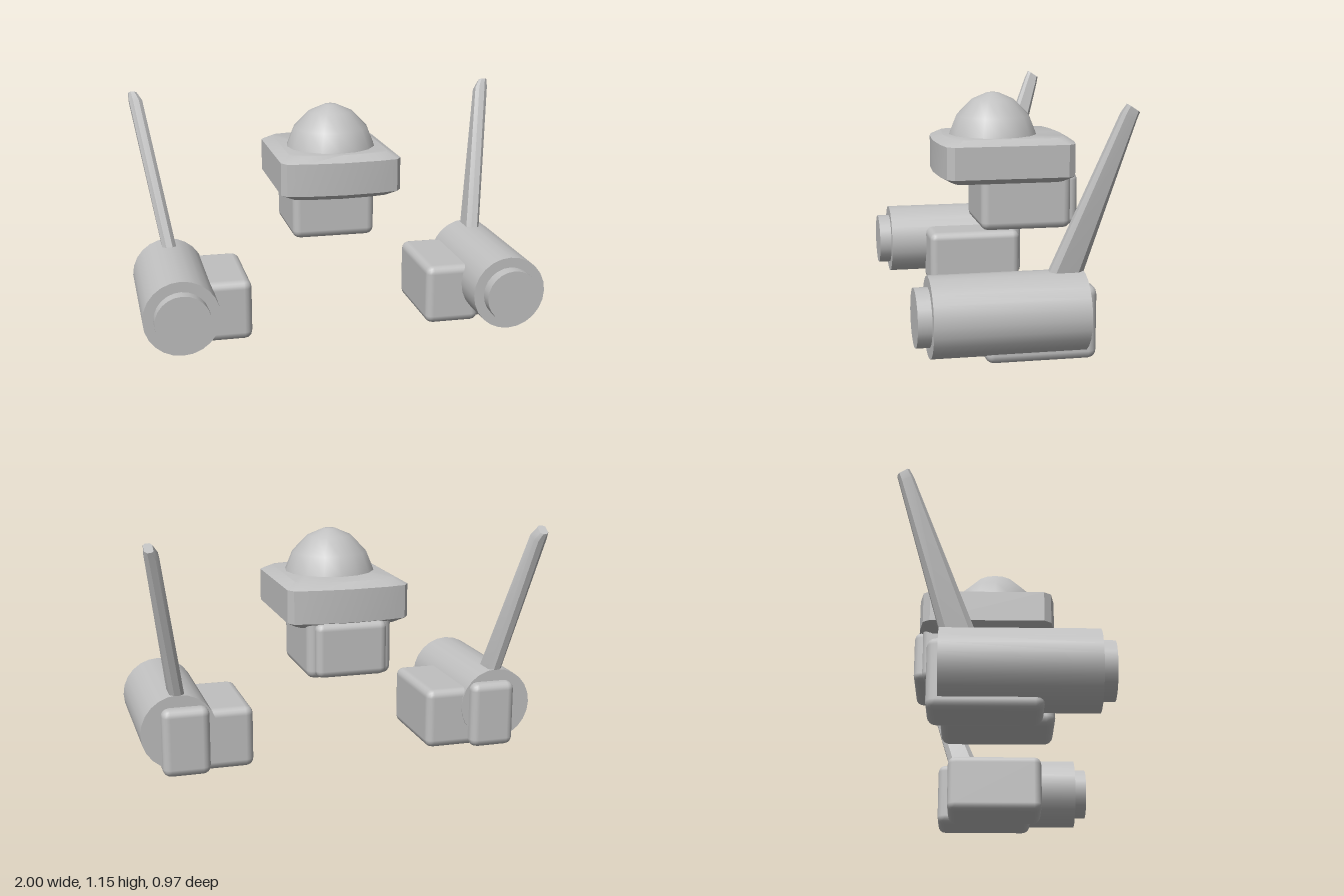
import * as THREE from 'three';
import { RoundedBoxGeometry } from 'three/addons/geometries/RoundedBoxGeometry.js';
import { toCreasedNormals } from 'three/addons/utils/BufferGeometryUtils.js';

const grey = new THREE.MeshStandardMaterial({ color: 0xc0c0c0 });
grey.name = 'plain grey';

function add(parent, name, geometry, x = 0, y = 0, z = 0) {
  const mesh = new THREE.Mesh(geometry, grey);
  mesh.name = name;
  mesh.position.set(x, y, z);
  parent.add(mesh);
  return mesh;
}

// Soft-edged box given by its limits
function block(parent, name, [x0, x1], [y0, y1], [z0, z1], radius) {
  const geometry = new RoundedBoxGeometry(x1 - x0, y1 - y0, z1 - z0, 2, radius);
  return add(parent, name, geometry, (x0 + x1) / 2, (y0 + y1) / 2, (z0 + z1) / 2);
}

// Skin over equal rings, listed bottom to top, each running from +z towards +x
function loft(rings, crease = 0.5) {
  const n = rings[0].length;
  const index = [];
  for (let r = 0; r < rings.length - 1; r++) {
    for (let i = 0; i < n; i++) {
      const a = r * n + i, b = r * n + (i + 1) % n;
      index.push(a, b, b + n, a, b + n, a + n);
    }
  }
  const top = (rings.length - 1) * n;
  for (let i = 1; i < n - 1; i++) {
    index.push(0, i + 1, i, top, top + i, top + i + 1);
  }
  const geometry = new THREE.BufferGeometry();
  geometry.setAttribute('position', new THREE.Float32BufferAttribute(rings.flat(2), 3));
  geometry.setIndex(index);
  return toCreasedNormals(geometry, crease);
}

// Outline of the brim: straight sides, bowed ends, cut corners
function brimRing(y, inset) {
  const w = 0.298 - inset, d = 0.348 - inset;
  const quarter = [[0, d], [w * 0.62, d - 0.012], [w * 0.92, d - 0.03], [w, d - 0.065]];
  const right = [...quarter, ...quarter.map(([x, z]) => [x, -z]).reverse()];
  const left = right.slice(1, -1).map(([x, z]) => [-x, z]).reverse();
  return [...right, ...left].map(([x, z]) => [x, y, z - 0.07]);
}

// Cross-section of the fin; its slope makes the tip slant to the rear
function finRing(x, y, z, w, d, slope) {
  const outline = [[-0.45, 1], [0.45, 1], [1, 0.65], [1, -0.65], [0.45, -1], [-0.45, -1], [-1, -0.65], [-1, 0.65]];
  return outline.map(([u, v]) => [x + u * w, y + v * d * slope, z + v * d]);
}

function headUnit() {
  const head = new THREE.Group();
  head.name = 'headUnit';
  add(head, 'brim', loft([
    brimRing(0.7, 0.05), brimRing(0.73, 0), brimRing(0.89, 0), brimRing(0.918, 0.05),
  ]));
  // Faceted-outline dome with smooth shading
  const profile = [[0.222, 0.9], [0.222, 0.92], [0.186, 1.01], [0.108, 1.09], [0.03, 1.124], [0, 1.126]]
    .map(([r, y]) => new THREE.Vector2(r, y));
  add(head, 'dome', new THREE.LatheGeometry(profile, 16), 0, 0, -0.028);
  block(head, 'neckBlock', [-0.21, 0.21], [0.455, 0.78], [-0.39, 0.066], 0.04);
  block(head, 'rearPanel', [-0.175, 0.175], [0.465, 0.73], [-0.432, -0.3], 0.035);
  return head;
}

function sidePod(side) {
  const pod = new THREE.Group();
  pod.name = side > 0 ? 'leftPod' : 'rightPod';
  const span = (inner, outer) => (side > 0 ? [inner, outer] : [-outer, -inner]);
  const cx = side * 0.815;

  // Barrel and front cap
  const barrel = new THREE.CylinderGeometry(0.185, 0.185, 0.7, 24).rotateX(Math.PI / 2);
  add(pod, 'barrel', barrel, cx, 0.215, 0.07);
  const cap = new THREE.CylinderGeometry(0.134, 0.134, 0.1, 24).rotateX(Math.PI / 2);
  add(pod, 'frontCap', cap, cx, 0.215, 0.433);

  // Blocks beside and beneath the barrel
  block(pod, 'innerBlock', span(0.448, 0.73), [0.003, 0.308], [-0.275, 0.228], 0.04);
  block(pod, 'lowerBlock', span(0.67, 0.902), [0.003, 0.34], [-0.332, 0.175], 0.04);

  // Tall fin leaning outward and back
  add(pod, 'fin', loft([
    finRing(side * 0.805, 0.32, -0.174, 0.035, 0.082, 0),
    finRing(side * 0.818, 0.4, -0.203, 0.035, 0.078, 0),
    finRing(side * 0.938, 1.1, -0.44, 0.033, 0.032, 0.5),
    finRing(side * 0.952, 1.137, -0.456, 0.021, 0.027, 0.65),
  ]));
  return pod;
}

export function createModel() {
  const model = new THREE.Group();
  model.name = 'model';
  model.add(headUnit(), sidePod(1), sidePod(-1));
  return model;
}
